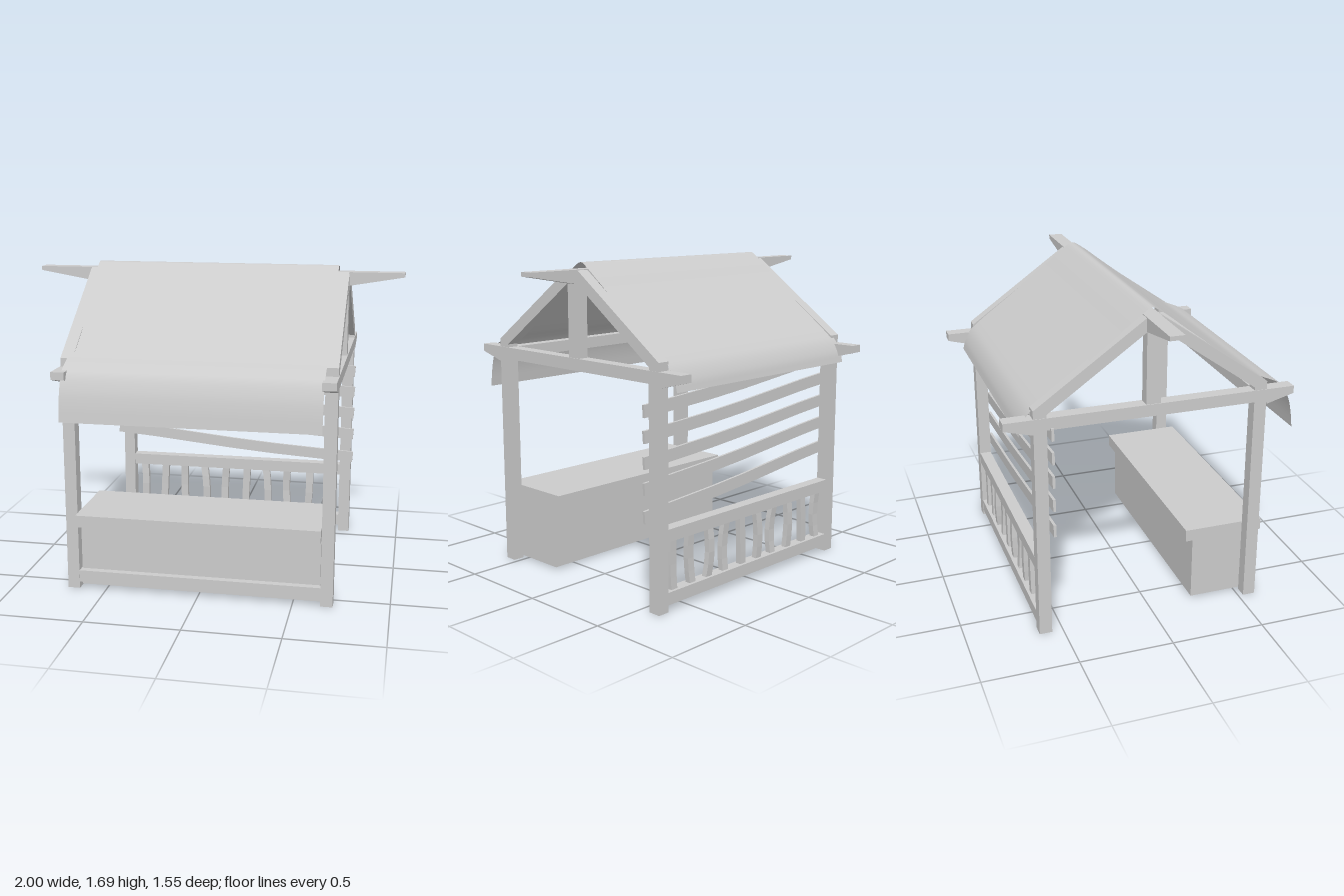
import * as THREE from 'three';

const wood = new THREE.MeshStandardMaterial({ color: 0xcccccc, flatShading: true });
const cloth = new THREE.MeshStandardMaterial({ color: 0xcccccc, side: THREE.DoubleSide });

export function createModel() {
  const model = new THREE.Group();

  const add = (name, geometry, material = wood) => {
    const mesh = new THREE.Mesh(geometry, material);
    mesh.name = name;
    model.add(mesh);
    return mesh;
  };
  // Box given by its limits on each axis
  const box = (name, x0, x1, y0, y1, z0, z1) => {
    const g = new THREE.BoxGeometry(x1 - x0, y1 - y0, z1 - z0);
    g.translate((x0 + x1) / 2, (y0 + y1) / 2, (z0 + z1) / 2);
    return add(name, g);
  };
  const prism = (points, depth) => {
    const shape = new THREE.Shape(points.map(p => new THREE.Vector2(p[0], p[1])));
    return new THREE.ExtrudeGeometry(shape, { depth, bevelEnabled: false }).translate(0, 0, -depth / 2);
  };
  // Outline in (z, y), given thickness along x
  const sidePrism = (name, points, x, depth) =>
    add(name, prism(points, depth).rotateY(-Math.PI / 2).translate(x, 0, 0));

  const mid = -0.0165; // z of the ridge

  // Two gable frames: posts, tapered tie beam, king post, rafters
  for (const side of [-1, 1]) {
    const label = side > 0 ? 'left' : 'right';
    const x = side * 0.677, w = 0.064;
    const [x0, x1] = [x - w / 2, x + w / 2];
    box(label + 'FrontPost', x0, x1, 0, 1.2, 0.528, 0.595);
    box(label + 'BackPost', x0, x1, 0, 1.2, -0.626, -0.559);
    box(label + 'KingPost', x0 + 0.002, x1 - 0.002, 1.2, 1.6, -0.055, 0.021);
    sidePrism(label + 'TieBeam', [
      [-0.775, 1.17], [-0.626, 1.13], [-0.626, 1.147], [0.595, 1.147],
      [0.595, 1.13], [0.745, 1.17], [0.745, 1.21], [-0.775, 1.21]
    ], x, 0.07);
    for (const s of [-1, 1]) {
      const pts = [[0.61, 1.19], [0.61, 1.253], [0.037, 1.657], [0, 1.657], [0, 1.585], [0.037, 1.585], [0.544, 1.226], [0.544, 1.19]];
      const outline = pts.map(([z, y]) => [mid + s * z, y]);
      sidePrism(label + (s > 0 ? 'FrontRafter' : 'BackRafter'), outline, x, w);
    }
  }

  // Ridge beam with tapered ends, eave beams
  add('ridgeBeam', prism([
    [-1, 1.635], [-0.71, 1.585], [0.71, 1.585], [1, 1.635], [1, 1.657], [-1, 1.657]
  ], 0.076).translate(0, 0, mid - 0.004));
  box('frontEaveBeam', -0.65, 0.65, 1.147, 1.209, 0.53, 0.593);
  box('backEaveBeam', -0.65, 0.65, 1.147, 1.209, -0.624, -0.561);

  // Cloth roof, draped over the ridge and hanging further at the front
  const profile = new THREE.CatmullRomCurve3([
    [-0.69, 1.11], [-0.675, 1.165], [-0.64, 1.225], [-0.59, 1.27], [-0.4, 1.41], [-0.2, 1.56],
    [-0.07, 1.66], [mid, 1.69], [0.04, 1.66], [0.17, 1.56], [0.37, 1.41], [0.56, 1.275],
    [0.64, 1.24], [0.70, 1.205], [0.74, 1.13], [0.76, 1.05], [0.772, 0.96]
  ].map(([z, y]) => new THREE.Vector3(0, y, z)), false, 'centripetal');
  const rows = 64;
  const sheet = new THREE.PlaneGeometry(1.32, 1, 1, rows);
  const pos = sheet.attributes.position, p = new THREE.Vector3();
  for (let i = 0; i < pos.count; i++) {
    profile.getPoint(Math.floor(i / 2) / rows, p);
    pos.setXYZ(i, pos.getX(i) - 0.009, p.y, p.z);
  }
  sheet.computeVertexNormals();
  add('roofCloth', sheet, cloth);

  // Counter chest between the front posts
  box('chestBody', -0.64, 0.64, 0.01, 0.362, 0.245, 0.555);
  box('chestLid', -0.644, 0.644, 0.36, 0.425, 0.205, 0.64);
  box('frontBottomRail', -0.65, 0.65, 0.035, 0.1, 0.53, 0.593);

  // Back railing with slightly bowed balusters
  box('backBottomRail', -0.65, 0.65, 0.035, 0.1, -0.624, -0.561);
  box('backTopRail', -0.65, 0.65, 0.36, 0.425, -0.624, -0.561);
  const count = 10;
  for (let i = 0; i < count; i++) {
    const g = new THREE.BoxGeometry(0.042, 0.27, 0.03, 1, 4, 1);
    const a = g.attributes.position;
    const bow = 0.009 * Math.sin(i * 2.3 + 1), lean = 0.05 * Math.sin(i * 1.7);
    for (let k = 0; k < a.count; k++) {
      const y = a.getY(k);
      const arch = Math.cos(y / 0.27 * Math.PI);
      a.setX(k, a.getX(k) + bow * arch + lean * y);
      a.setZ(k, a.getZ(k) + bow * arch);
    }
    g.computeVertexNormals();
    add('baluster', g).position.set(-0.585 + i * 1.17 / (count - 1), 0.23, -0.5925);
  }

  // Slanted, slightly sagging slats on the inside of the back posts
  const leftY = [0.6, 0.742, 0.87, 0.997, 1.122];
  const rightY = [0.48, 0.622, 0.752, 0.88, 1.007];
  leftY.forEach((yl, i) => {
    const g = new THREE.BoxGeometry(1.46, 0.064, 0.014, 6, 1, 1);
    const a = g.attributes.position;
    for (let k = 0; k < a.count; k++) {
      a.setY(k, a.getY(k) - 0.006 * Math.sin(a.getX(k) * 4 + 1));
    }
    g.computeVertexNormals();
    const slat = add('backSlat', g);
    slat.position.set(-0.005, (yl + rightY[i]) / 2, -0.537);
    slat.rotation.z = Math.atan2(rightY[i] - yl, 1.46);
  });

  return model;
}
